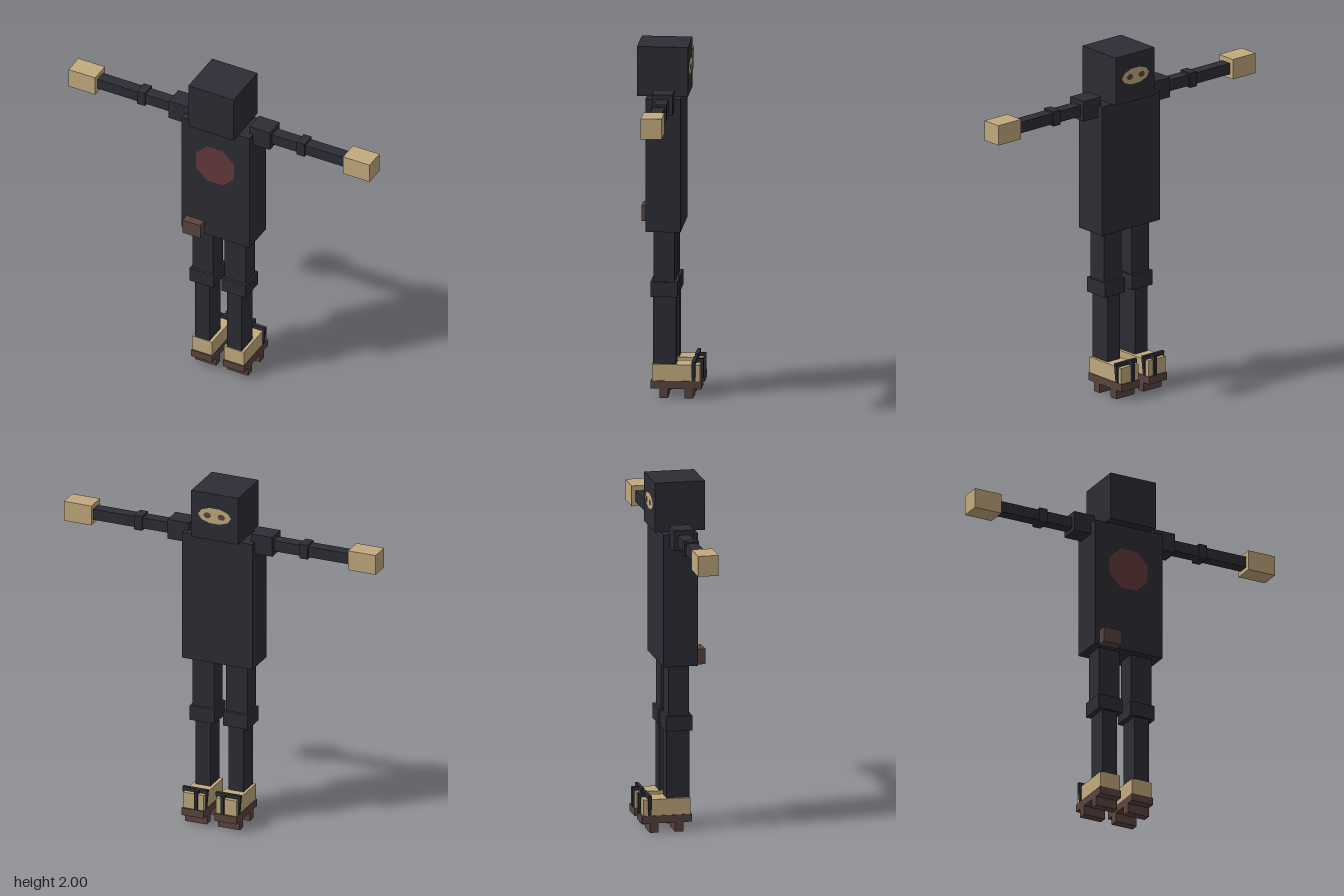
import * as THREE from 'three';

const mat = (name, color) => Object.assign(new THREE.MeshStandardMaterial({ color }), { name });

export function createModel() {
  const cloth = mat('dark cloth', 0x2c2d35);
  const skin = mat('skin', 0xc2aa7d);
  const wood = mat('brown wood', 0x5a443f);
  const red = mat('dull red', 0x643a3b);

  const model = new THREE.Group();
  model.name = 'maskedFigure';

  const add = (parent, name, geometry, material) => {
    const mesh = new THREE.Mesh(geometry, material);
    mesh.name = name;
    parent.add(mesh);
    return mesh;
  };
  // Box given by its [min, max] range on each axis
  const box = (parent, name, material, [x0, x1], [y0, y1], [z0, z1]) =>
    add(parent, name, new THREE.BoxGeometry(x1 - x0, y1 - y0, z1 - z0), material)
      .position.set((x0 + x1) / 2, (y0 + y1) / 2, (z0 + z1) / 2);
  // Thin flat polygon facing +z or -z
  const disc = (name, material, sides, rx, ry, x, y, z, facing, turn = 0) => {
    const mesh = add(model, name, new THREE.CircleGeometry(1, sides, turn), material);
    mesh.scale.set(rx, ry, 1);
    mesh.position.set(x, y, z);
    if (facing < 0) mesh.rotation.y = Math.PI;
  };

  // Head and body
  box(model, 'head', cloth, [-0.143, 0.143], [1.718, 2], [-0.1, 0.185]);
  box(model, 'torso', cloth, [-0.214, 0.214], [0.957, 1.718], [-0.065, 0.13]);
  disc('roundEmblem', red, 8, 0.131, 0.129, -0.002, 1.455, 0.133, 1, Math.PI / 8);
  box(model, 'pouch', wood, [-0.183, -0.07], [0.957, 1.045], [0.13, 0.18]);

  // Face opening with two eyes
  disc('faceOpening', skin, 10, 0.1, 0.048, 0, 1.867, -0.103, -1);
  for (const side of [-1, 1]) disc('eye', wood, 8, 0.023, 0.018, side * 0.043, 1.867, -0.106, -1);

  for (const side of [-1, 1]) {
    const span = (a, b) => (side > 0 ? [a, b] : [-b, -a]);

    // Arm
    const arm = new THREE.Group();
    arm.name = side > 0 ? 'leftArm' : 'rightArm';
    model.add(arm);
    box(arm, 'shoulder', cloth, span(0.19, 0.32), [1.648, 1.765], [-0.03, 0.085]);
    box(arm, 'armBar', cloth, span(0.32, 0.783), [1.673, 1.737], [-0.007, 0.06]);
    box(arm, 'elbow', cloth, span(0.48, 0.53), [1.662, 1.748], [-0.016, 0.068]);
    box(arm, 'hand', skin, span(0.783, 0.951), [1.648, 1.765], [-0.03, 0.088]);

    // Leg
    const leg = new THREE.Group();
    leg.name = side > 0 ? 'leftLeg' : 'rightLeg';
    model.add(leg);
    box(leg, 'thigh', cloth, span(0.036, 0.167), [0.664, 0.957], [-0.027, 0.09]);
    box(leg, 'knee', cloth, span(0.026, 0.177), [0.578, 0.664], [-0.045, 0.107]);
    box(leg, 'shin', cloth, span(0.056, 0.147), [0.19, 0.578], [-0.034, 0.096]);

    // Foot and raised wooden sandal
    box(leg, 'foot', skin, span(0.037, 0.163), [0.097, 0.19], [-0.169, 0.1]);
    box(leg, 'sandalSole', wood, span(0.034, 0.167), [0.053, 0.097], [-0.178, 0.106]);
    for (const z of [0.034, -0.108])
      box(leg, 'sandalTooth', wood, span(0.034, 0.167), [0, 0.053], [z - 0.024, z + 0.024]);

    // Sandal strap, wider at the top, with a thong over the toes
    const strap = new THREE.Shape([[-0.066, 0.097], [0.066, 0.097], [0.077, 0.212], [-0.077, 0.212]]
      .map(([x, y]) => new THREE.Vector2(x, y)));
    add(leg, 'strap', new THREE.ExtrudeGeometry(strap, { depth: 0.02, bevelEnabled: false }), cloth)
      .position.set(side * 0.101, 0, -0.144);
    box(leg, 'thongTop', cloth, span(0.072, 0.09), [0.19, 0.211], [-0.183, -0.144]);
    box(leg, 'thongFront', cloth, span(0.072, 0.09), [0.097, 0.19], [-0.183, -0.169]);
  }
  return model;
}
